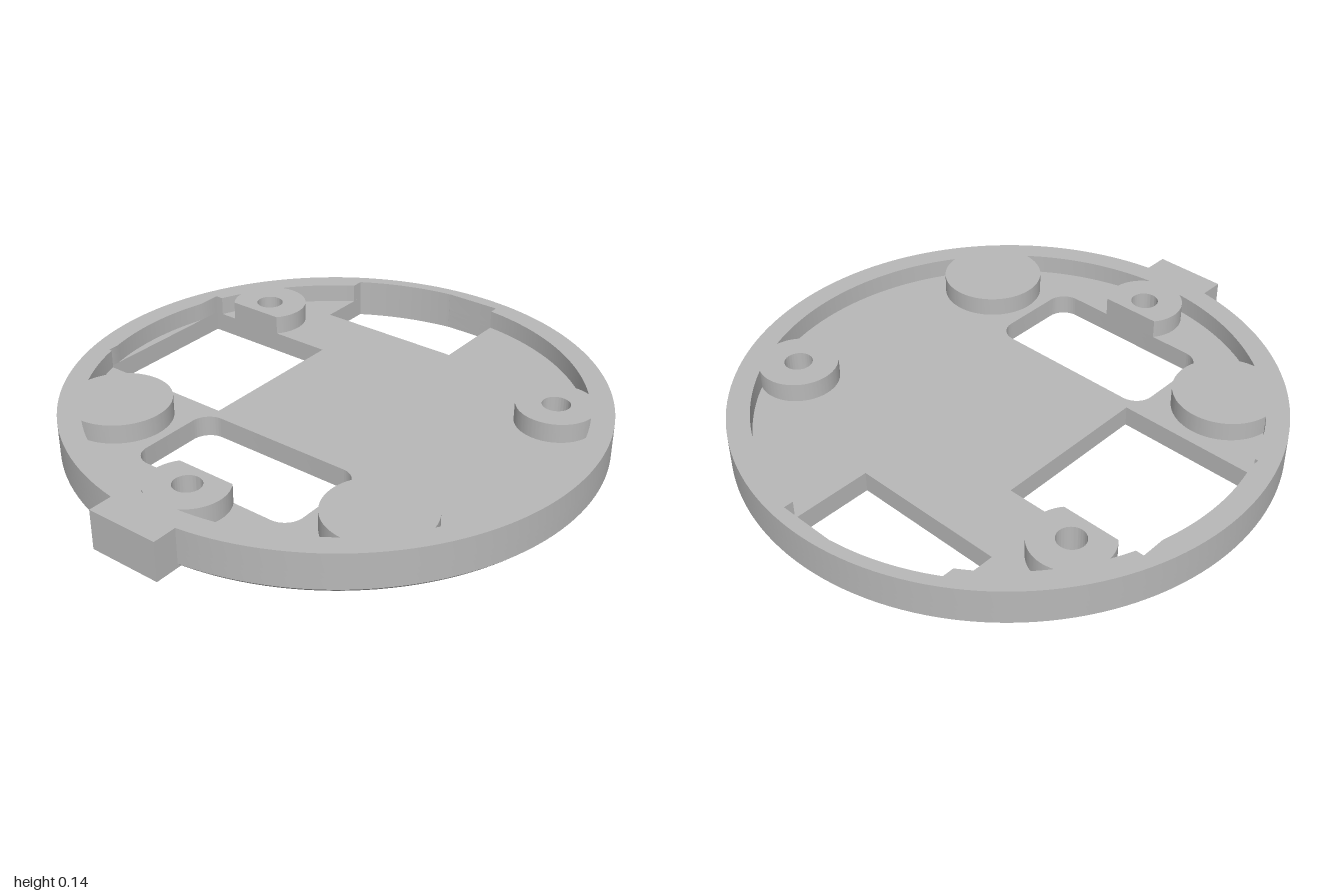
import * as THREE from 'three';
import { toCreasedNormals } from 'three/addons/utils/BufferGeometryUtils.js';

// Plan shapes are drawn in (x, s) with s = -z, then extruded upwards.
const R = 0.96, RIM = 0.88, CUT = 0.917, CS = 0.04; // outer, recess and cut-out radii, disc centre
const FLOOR = 0.075, TOP = 0.145, BEVEL = 0.015, BORE = 0.055;
const TAB = 0.135;
const LEDGE = { x0: -0.85, x1: -0.31, s0: -0.23, s1: 0.36 }; // side window
const POSTS = [[0.657, 0.427], [-0.645, 0.45], [0, -0.715]];
const BOSSES = [[0.555, -0.465], [-0.555, -0.465]];

export function createModel() {
  const group = new THREE.Group();
  const grey = new THREE.MeshStandardMaterial({ color: 0xb8b8b8 });
  grey.name = 'grey plastic';

  function slab(name, shape, y0, y1) {
    let g = new THREE.ExtrudeGeometry(shape, { depth: y1 - y0, bevelEnabled: false, curveSegments: 72 });
    g.rotateX(-Math.PI / 2);
    g.translate(0, y0, 0);
    g = toCreasedNormals(g, 0.5);
    const mesh = new THREE.Mesh(g, grey);
    mesh.name = name;
    group.add(mesh);
  }

  const circle = (x, s, r) => new THREE.Path().absarc(x, s, r, 0, Math.PI * 2, false);
  const poly = (pts) => new THREE.Path(pts.map(([x, s]) => new THREE.Vector2(x, s)));
  const angle = (x, s) => Math.atan2(s - CS, x);

  // Round outline with the square tab at the front
  function outline(r) {
    const h = Math.asin(TAB / r);
    const shape = new THREE.Shape();
    shape.absarc(0, CS, r, -Math.PI / 2 + h, Math.PI * 1.5 - h, false);
    shape.lineTo(-TAB, -1);
    shape.lineTo(TAB, -1);
    shape.closePath();
    return shape;
  }

  // Back window: a rectangle trimmed by an arc
  function backWindow() {
    const p = new THREE.Path();
    p.moveTo(-0.475, 0.62);
    p.lineTo(0.095, 0.62);
    p.lineTo(0.095, 0.95);
    p.lineTo(-0.12, 0.95);
    p.absarc(0, CS, CUT, angle(-0.12, 0.95), angle(-0.475, 0.825), false);
    p.closePath();
    return p;
  }

  // Front slot with rounded corners
  function slot() {
    const p = new THREE.Path(), x = 0.335 - 0.07, lo = -0.63 + 0.07, hi = -0.265 - 0.07, q = Math.PI / 2;
    [[x, hi], [-x, hi], [-x, lo], [x, lo]].forEach(([cx, cs], i) => p.absarc(cx, cs, 0.07, i * q, (i + 1) * q, false));
    p.closePath();
    return p;
  }

  const sideWindow = () => poly([
    [LEDGE.x0, LEDGE.s0], [LEDGE.x1, LEDGE.s0], [LEDGE.x1, LEDGE.s1], [LEDGE.x0, LEDGE.s1],
  ]);

  // Floor plate, with screw holes of the given radius and pockets below the bosses
  function floorShape(r, screw) {
    const shape = outline(r);
    shape.holes.push(backWindow(), sideWindow(), slot(),
      ...POSTS.map(([x, s]) => circle(x, s, screw)),
      ...BOSSES.map(([x, s]) => circle(x, s, 0.135)));
    return shape;
  }
  slab('bottomFace', floorShape(R - BEVEL, 0.083), 0, BEVEL);
  slab('lowerFloor', floorShape(R, 0.083), BEVEL, BORE);
  slab('upperFloor', floorShape(R, 0.05), BORE, FLOOR);

  // Chamfer around the bottom edge
  const chamfer = new THREE.Mesh(new THREE.LatheGeometry(
    [new THREE.Vector2(R - BEVEL, 0), new THREE.Vector2(R, BEVEL)], 144), grey);
  chamfer.name = 'bottomChamfer';
  chamfer.position.z = -CS;
  group.add(chamfer);

  // Raised rim, notched where the windows reach into it
  const onRim = (s) => -Math.sqrt(RIM * RIM - (s - CS) ** 2);
  const full = 2 * Math.PI;
  const ledge = Math.sqrt(RIM * RIM - LEDGE.x0 ** 2);
  const recess = new THREE.Path();
  recess.absarc(0, CS, RIM, 0, Math.acos(0.095 / RIM), false);
  recess.lineTo(0.095, 0.95);
  recess.lineTo(-0.12, 0.95);
  recess.absarc(0, CS, CUT, angle(-0.12, 0.95), angle(-0.475, 0.825), false);
  recess.absarc(0, CS, RIM, Math.acos(-0.475 / RIM), angle(onRim(LEDGE.s1), LEDGE.s1), false);
  recess.lineTo(LEDGE.x0, LEDGE.s1);
  recess.absarc(0, CS, RIM, angle(LEDGE.x0, CS + ledge), full + angle(LEDGE.x0, CS - ledge), false);
  recess.lineTo(LEDGE.x0, LEDGE.s0);
  recess.absarc(0, CS, RIM, full + angle(onRim(LEDGE.s0), LEDGE.s0), full, false);
  const rim = outline(R);
  rim.holes.push(recess);
  slab('rim', rim, FLOOR, TOP);

  // Screw posts; two have a flat where a window cuts them
  const flats = [null, { dir: -Math.PI / 2, dist: 0.09 }, { dir: Math.PI / 2, dist: 0.085 }];
  POSTS.forEach(([x, s], i) => {
    const r = 0.141, flat = flats[i];
    const h = flat ? Math.acos(flat.dist / r) : 0;
    const dir = flat ? flat.dir : 0;
    const shape = new THREE.Shape();
    shape.absarc(x, s, r, dir + h, dir + full - h, false);
    shape.closePath();
    shape.holes.push(circle(x, s, 0.05));
    slab('screwPost', shape, FLOOR, TOP);
  });

  // Solid round bosses
  BOSSES.forEach(([x, s]) => {
    const shape = new THREE.Shape();
    shape.absarc(x, s, 0.185, 0, full, false);
    slab('boss', shape, FLOOR, TOP);
  });

  return group;
}
